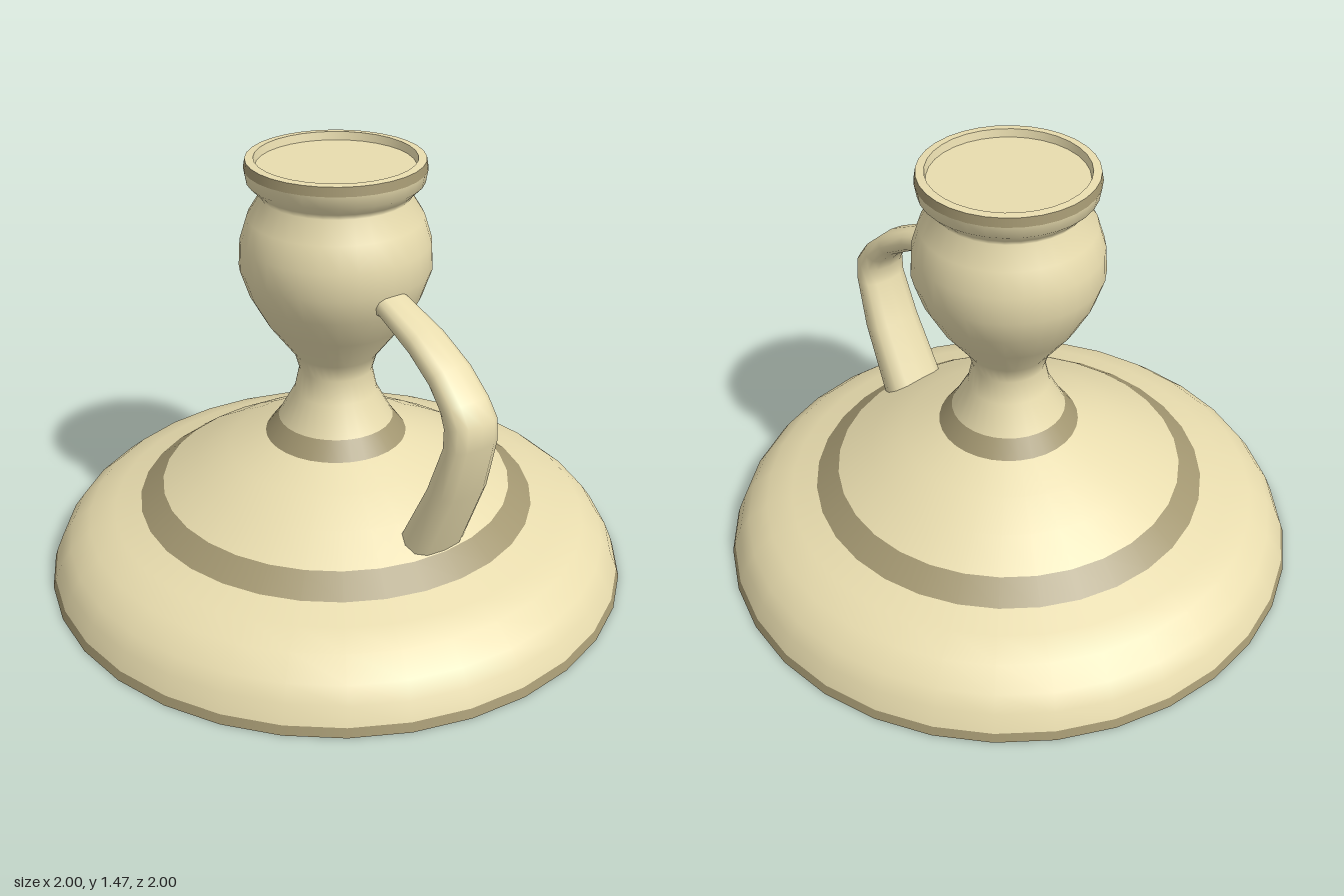
import * as THREE from 'three';

const cream = new THREE.MeshStandardMaterial({ color: 0xe8dcae });
const olive = new THREE.MeshStandardMaterial({ color: 0xa39771 });

// Turned sections as [radius, height], listed from the underside upward
const turned = [
  ['underside', olive, [[0, 0], [1, 0]]],
  ['footBand', olive, [[1, 0], [0.99, 0.03]]],
  ['footRim', cream, [[0.99, 0.03], [0.965, 0.09], [0.93, 0.14], [0.86, 0.2], [0.77, 0.23], [0.68, 0.26]]],
  ['lowerStripe', olive, [[0.68, 0.26], [0.6, 0.32]]],
  ['baseDome', cream, [[0.6, 0.32], [0.48, 0.39], [0.365, 0.45], [0.24, 0.5]]],
  ['upperStripe', olive, [[0.24, 0.5], [0.195, 0.56]]],
  ['stemAndCup', cream, [[0.195, 0.56], [0.14, 0.66], [0.123, 0.74], [0.14, 0.8], [0.23, 0.92], [0.285, 1.02],
    [0.315, 1.11], [0.31, 1.2], [0.285, 1.28], [0.242, 1.35], [0.255, 1.37], [0.285, 1.4], [0.292, 1.44]]],
  ['rimBand', olive, [[0.292, 1.44], [0.287, 1.47]]],
  ['lip', cream, [[0.287, 1.47], [0.26, 1.472]]],
  ['socketWall', cream, [[0.26, 1.472], [0.255, 1.445]]],
  ['socketFloor', cream, [[0.255, 1.445], [0, 1.445]]],
];

// Handle cross-sections: outer z, y, inner z, y, half width
const sections = [
  [0.22, 1.13, 0.22, 1.0, 0.055],
  [0.3, 1.11, 0.3, 1.035, 0.06],
  [0.48, 1.05, 0.46, 0.97, 0.07],
  [0.61, 0.98, 0.56, 0.91, 0.077],
  [0.7, 0.9, 0.615, 0.855, 0.083],
  [0.745, 0.84, 0.635, 0.81, 0.087],
  [0.745, 0.76, 0.64, 0.75, 0.092],
  [0.7, 0.57, 0.58, 0.59, 0.102],
  [0.6, 0.33, 0.475, 0.385, 0.113],
  [0.57, 0.26, 0.43, 0.3, 0.117],
];

function handleGeometry(sides = 12) {
  const pos = [], index = [];
  sections.forEach(([oz, oy, iz, iy, w], s) => {
    for (let j = 0; j < sides; j++) {
      const a = (j / sides) * Math.PI * 2;
      // Softened rectangle: flatter faces than a plain ellipse
      const soft = (v) => Math.sign(v) * Math.pow(Math.abs(v), 0.8);
      const t = soft(Math.sin(a)) / 2;
      pos.push(w * soft(Math.cos(a)), (oy + iy) / 2 + (oy - iy) * t, (oz + iz) / 2 + (oz - iz) * t);
      if (s < sections.length - 1) {
        const p = s * sides + j, q = s * sides + (j + 1) % sides;
        index.push(p, q, p + sides, q, q + sides, p + sides);
      }
    }
  });
  const geo = new THREE.BufferGeometry();
  geo.setAttribute('position', new THREE.Float32BufferAttribute(pos, 3));
  geo.setIndex(index);
  geo.computeVertexNormals();
  return geo;
}

export function createModel() {
  const group = new THREE.Group();
  group.name = 'candlestick';
  for (const [name, material, profile] of turned) {
    const points = profile.map(([r, y]) => new THREE.Vector2(r, y));
    const mesh = new THREE.Mesh(new THREE.LatheGeometry(points, 32), material);
    mesh.name = name;
    group.add(mesh);
  }
  // Both handle ends run inside the cup and the base
  const handle = new THREE.Mesh(handleGeometry(), cream);
  handle.name = 'handle';
  group.add(handle);
  return group;
}
